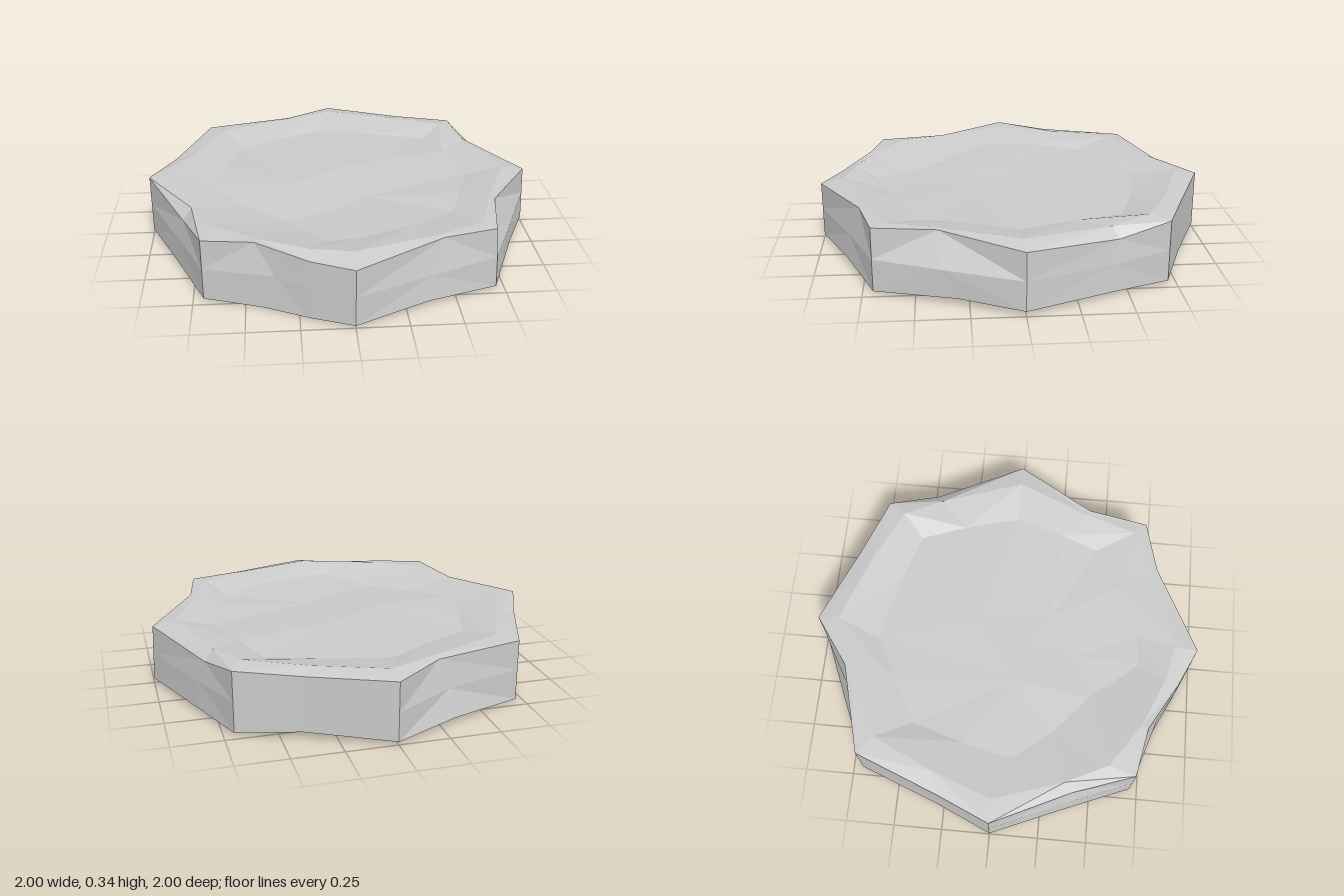
import * as THREE from 'three';

// Cross-sections of the slab, each running front -> left (+x) -> back -> right -> front.
const baseEdge = [
  [0, .012, 1], [.36, .035, .85], [.71, .01, .7], [.87, .035, .3], [1, .025, 0], [.83, .025, -.42],
  [.7, .012, -.71], [.4, .035, -.83], [0, .015, -1], [-.33, .03, -.86], [-.71, .01, -.7],
  [-.87, .02, -.29], [-1, .02, 0], [-.85, .02, .35], [-.7, .01, .71], [-.42, .005, .8], [-.2, .005, .91],
];
const sideWall = [
  [0, .16, 1], [.37, .16, .83], [.705, .17, .7], [.84, .17, .38], [.995, .17, 0], [.82, .16, -.42],
  [.7, .17, -.71], [.4, .17, -.83], [0, .16, -1], [-.3, .17, -.83], [-.71, .17, -.7],
  [-.87, .17, -.28], [-1, .17, 0], [-.84, .16, .36], [-.7, .17, .71], [-.36, .18, .82], [-.2, .17, .91],
];
const topEdge = [
  [0, .3, 1], [.43, .325, .77], [.695, .325, .7], [.75, .33, .39], [.99, .31, 0], [.79, .275, -.45],
  [.7, .32, -.71], [.4, .31, -.83], [0, .31, -1], [-.25, .32, -.82], [-.71, .32, -.7],
  [-.88, .31, -.27], [-1, .325, 0], [-.8, .27, .4], [-.7, .32, .71], [-.45, .33, .76], [-.2, .3, .905],
];
const rim = [
  [0, .33, .88], [.41, .33, .75], [.64, .33, .64], [.72, .33, .38], [.88, .33, 0], [.74, .32, -.42],
  [.64, .335, -.62], [.35, .33, -.76], [0, .33, -.89], [-.28, .33, -.77], [-.62, .33, -.62],
  [-.77, .33, -.3], [-.88, .33, 0], [-.76, .32, .36], [-.66, .33, .57], [-.43, .33, .73], [-.2, .325, .83],
];
const dish = [
  [.05, .29, .68], [.33, .3, .58], [.53, .29, .44], [.6, .3, .25], [.68, .29, 0], [.6, .3, -.28],
  [.52, .29, -.51], [.25, .29, -.6], [-.08, .29, -.67], [-.3, .295, -.55], [-.52, .29, -.43],
  [-.6, .3, -.18], [-.66, .3, .08], [-.5, .28, .28], [-.3, .275, .45], [-.2, .28, .58], [-.1, .29, .7],
];

// Skins the rings, in order, with outward flat facets; collapsed corners are skipped.
function skin(rings) {
  const positions = [];
  const same = (p, q) => p.every((v, k) => v === q[k]);
  const tri = (a, b, c) => {
    if (!same(a, b) && !same(b, c) && !same(c, a)) positions.push(...a, ...b, ...c);
  };
  for (let r = 0; r < rings.length - 1; r++) {
    const lower = rings[r], upper = rings[r + 1], n = lower.length;
    for (let i = 0; i < n; i++) {
      const j = (i + 1) % n;
      if (i % 2) {
        tri(lower[i], lower[j], upper[i]);
        tri(lower[j], upper[j], upper[i]);
      } else {
        tri(lower[i], lower[j], upper[j]);
        tri(lower[i], upper[j], upper[i]);
      }
    }
  }
  const geometry = new THREE.BufferGeometry();
  geometry.setAttribute('position', new THREE.Float32BufferAttribute(positions, 3));
  geometry.computeVertexNormals();
  return geometry;
}

export function createModel() {
  // underside: shallow bevel to a contact ring, then a slight hollow
  const contact = baseEdge.map(([x, , z]) => [x * .84, 0, z * .84]);
  const hollow = baseEdge.map(([x, , z]) => [x * .6, .015, z * .6]);
  const point = (p) => baseEdge.map(() => p);

  // four uneven high and low spots in the middle of the dish
  const spots = [[-.08, .275, .36], [.12, .28, .22], [.08, .3, -.16], [-.25, .3, .07]];
  const core = [0, 1, 1, 1, 2, 2, 2, 2, 2, 3, 3, 3, 3, 3, 0, 0, 0].map((k) => spots[k]);

  const slab = new THREE.Mesh(
    skin([point([0, .02, 0]), hollow, contact, baseEdge, sideWall, topEdge, rim, dish, core, point([-.05, .29, .08])]),
    new THREE.MeshStandardMaterial({ color: 0xcccccc, flatShading: true }),
  );
  slab.name = 'stoneSlab';

  const group = new THREE.Group();
  group.name = 'flatStone';
  group.add(slab);
  return group;
}
